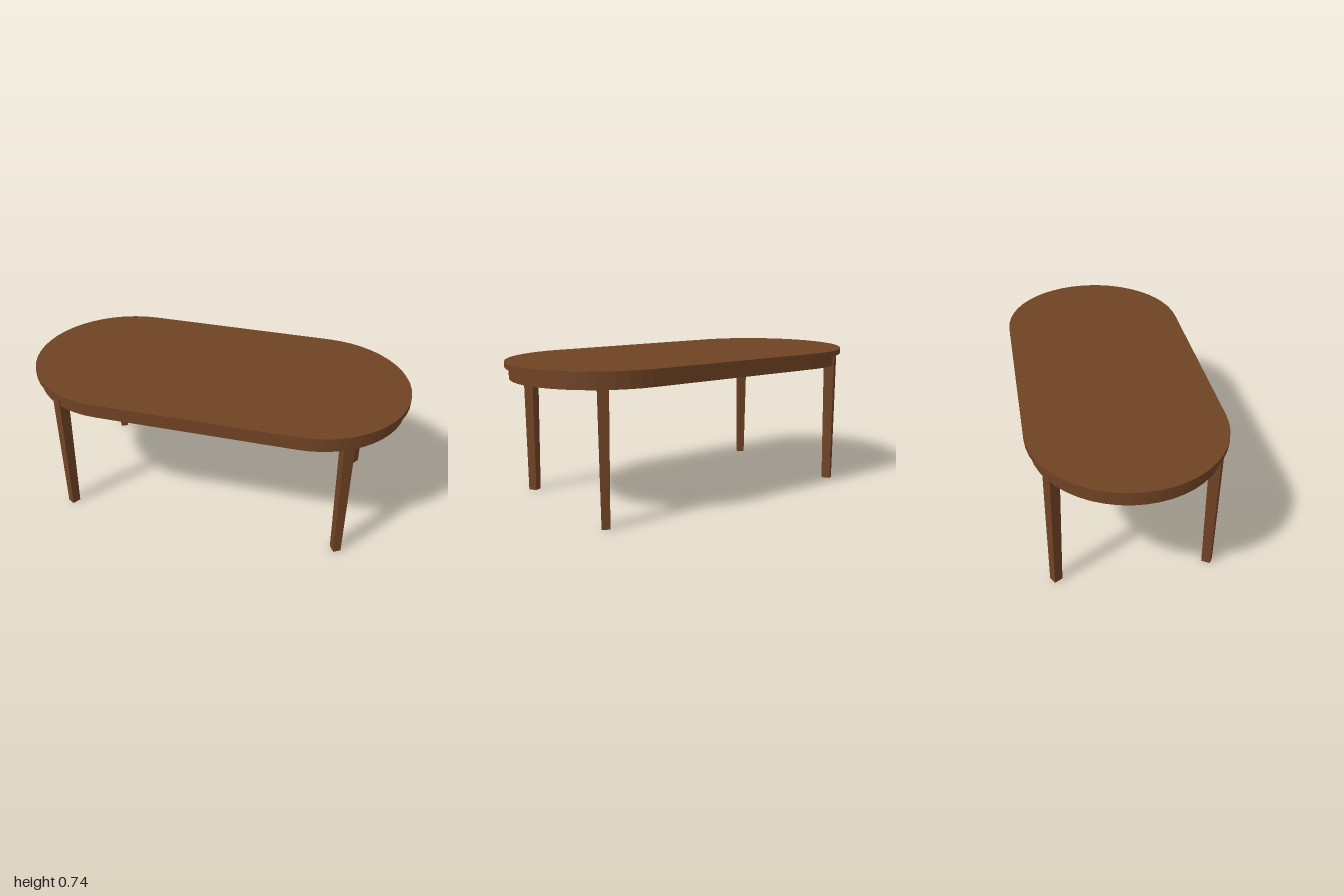
import * as THREE from 'three';

const CX = 0.513; // centre of each rounded end

// Stadium outline: two half circles joined by straight sides
function stadium(r, PathType = THREE.Shape) {
  const p = new PathType();
  p.absarc(CX, 0, r, -Math.PI / 2, Math.PI / 2, false);
  p.absarc(-CX, 0, r, Math.PI / 2, Math.PI * 1.5, false);
  p.closePath();
  return p;
}

// Extrude a plan outline upward from y0 to y1
function slab(shape, y0, y1) {
  const g = new THREE.ExtrudeGeometry(shape, { depth: y1 - y0, bevelEnabled: false, curveSegments: 12 });
  g.rotateX(-Math.PI / 2);
  g.translate(0, y0, 0);
  return g;
}

// Square leg, tapered on the sides and inner face; outer face (+x) stays upright
function legGeometry() {
  const h = 0.714;
  const g = new THREE.BoxGeometry(1, h, 1);
  g.translate(-0.5, h / 2, 0);
  const p = g.attributes.position;
  for (let i = 0; i < p.count; i++) {
    const t = p.getY(i) / h;
    p.setX(i, p.getX(i) * THREE.MathUtils.lerp(0.046, 0.057, t));
    p.setZ(i, p.getZ(i) * THREE.MathUtils.lerp(0.041, 0.056, t));
  }
  g.computeVertexNormals();
  return g;
}

export function createModel() {
  const model = new THREE.Group();
  model.name = 'diningTable';
  const wood = new THREE.MeshStandardMaterial({ color: 0x704324 });
  wood.name = 'brownWood';

  const add = (name, geometry) => {
    const mesh = new THREE.Mesh(geometry, wood);
    mesh.name = name;
    model.add(mesh);
    return mesh;
  };

  // Table top
  add('tableTop', slab(stadium(0.487), 0.714, 0.743));

  // Apron ring under the top
  const ring = stadium(0.467);
  ring.holes.push(stadium(0.447, THREE.Path));
  add('apron', slab(ring, 0.656, 0.714));

  // Four legs, set on the rounded ends and turned to face outward
  const legGeo = legGeometry();
  const a = Math.PI / 3, r = 0.471;
  for (const sx of [1, -1]) {
    for (const sz of [1, -1]) {
      const leg = add((sz > 0 ? 'front' : 'back') + (sx > 0 ? 'Left' : 'Right') + 'Leg', legGeo);
      const dx = sx * Math.cos(a), dz = sz * Math.sin(a);
      leg.position.set(sx * CX + dx * r, 0, dz * r);
      leg.rotation.y = Math.atan2(-dz, dx);
    }
  }
  return model;
}
